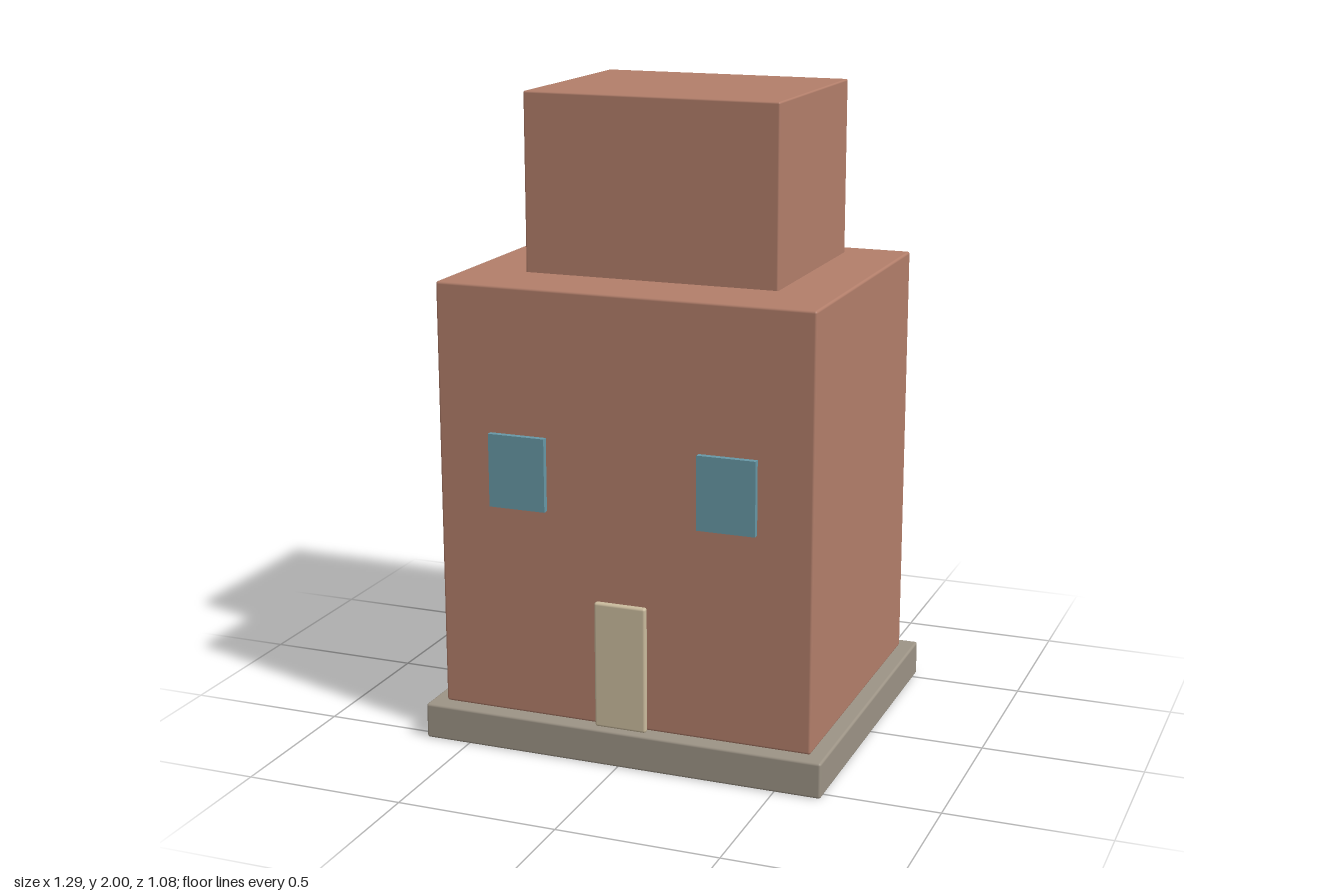
import * as THREE from 'three';
import { RoundedBoxGeometry } from 'three/addons/geometries/RoundedBoxGeometry.js';

function material(name, color) {
  const m = new THREE.MeshStandardMaterial({ color });
  m.name = name;
  return m;
}

export function createModel() {
  const brick = material('brick', 0xb27e6a);
  const stone = material('stone', 0x9c9385);
  const glass = material('window blue', 0x6697a5);
  const cream = material('door cream', 0xcabb9d);

  const house = new THREE.Group();
  house.name = 'house';

  // Box given by its min and max corners, with optional softened edges
  function block(name, mat, [x0, y0, z0], [x1, y1, z1], radius = 0) {
    const size = [x1 - x0, y1 - y0, z1 - z0];
    const geometry = radius
      ? new RoundedBoxGeometry(...size, 2, radius)
      : new THREE.BoxGeometry(...size);
    const mesh = new THREE.Mesh(geometry, mat);
    mesh.name = name;
    mesh.position.set((x0 + x1) / 2, (y0 + y1) / 2, (z0 + z1) / 2);
    house.add(mesh);
  }

  // Stone plinth and the two stacked storeys
  block('plinth', stone, [-0.645, 0, -0.54], [0.645, 0.112, 0.54], 0.008);
  block('mainBody', brick, [-0.597, 0.112, -0.49], [0.597, 1.45, 0.49], 0.008);
  block('upperStorey', brick, [-0.405, 1.44, -0.405], [0.405, 2, 0.262], 0.006);

  // Door slab
  block('door', cream, [-0.083, 0.112, 0.494], [0.083, 0.51, 0.516], 0.008);

  // Pair of windows
  for (const [name, side] of [['leftWindow', 1], ['rightWindow', -1]]) {
    const x = side * 0.334;
    block(name, glass, [x - 0.091, 0.772, 0.486], [x + 0.091, 1, 0.509]);
  }

  return house;
}
